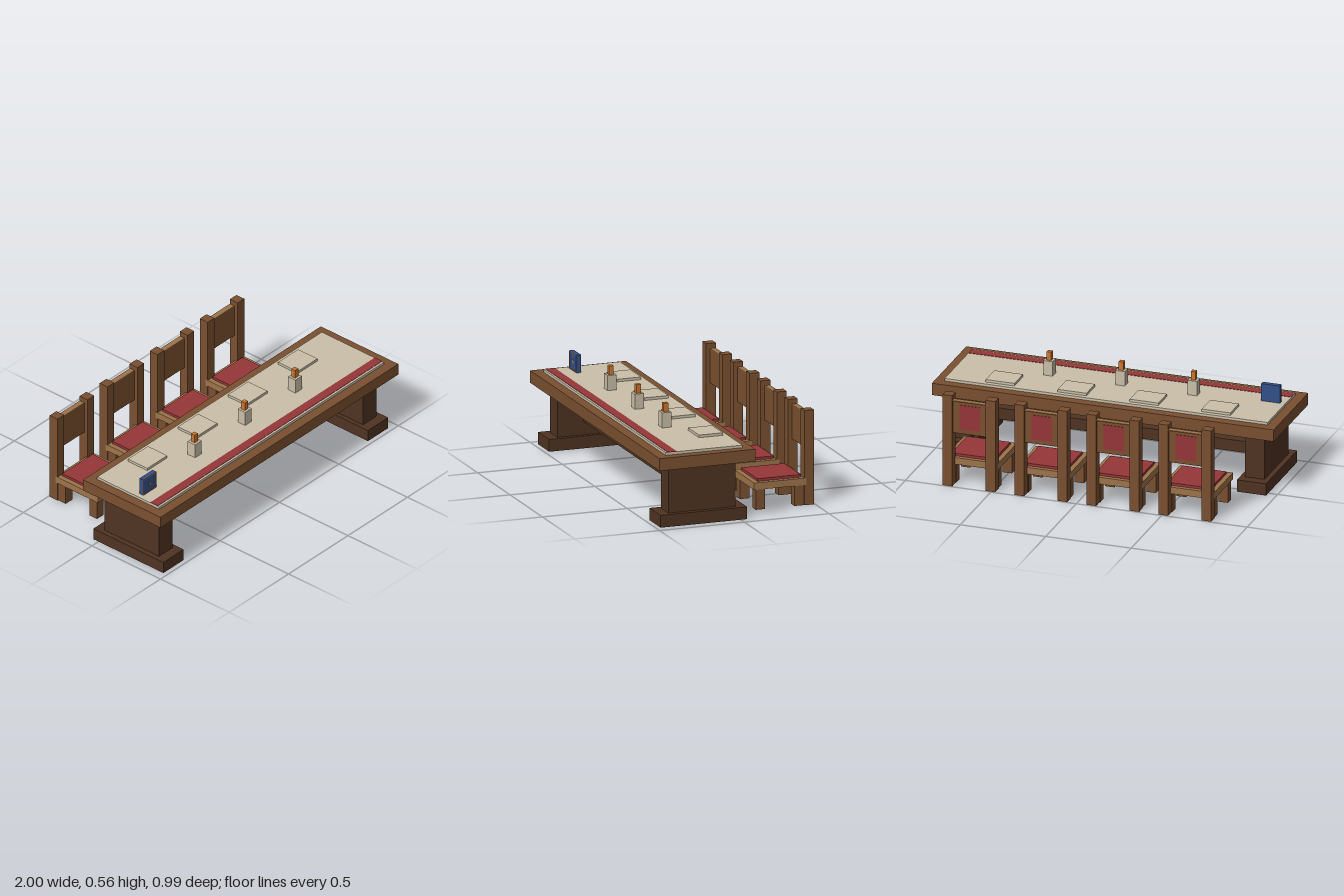
import * as THREE from 'three';

const mat = (name, color) => {
  const m = new THREE.MeshStandardMaterial({ color });
  m.name = name;
  return m;
};

export function createModel() {
  const wood = mat('brown wood', 0x7a5030);
  const dark = mat('dark wood', 0x4f3322);
  const light = mat('light wood', 0x9e744a);
  const linen = mat('linen', 0xcabfa8);
  const red = mat('red cloth', 0x963638);
  const blue = mat('blue cover', 0x34508a);
  const orange = mat('orange flame', 0xcc7630);

  const model = new THREE.Group();
  model.name = 'diningSet';

  // Box given by its lower and upper limits on each axis
  const box = (parent, name, material, [x0, x1], [y0, y1], [z0, z1]) => {
    const mesh = new THREE.Mesh(new THREE.BoxGeometry(x1 - x0, y1 - y0, z1 - z0), material);
    mesh.position.set((x0 + x1) / 2, (y0 + y1) / 2, (z0 + z1) / 2);
    mesh.name = name;
    parent.add(mesh);
    return mesh;
  };
  const group = (name, x = 0) => {
    const g = new THREE.Group();
    g.name = name;
    g.position.x = x;
    model.add(g);
    return g;
  };
  const span = (c, w) => [c - w / 2, c + w / 2];

  // Table with two pedestals joined by a stretcher
  const table = group('table');
  box(table, 'tableTop', wood, [-1, 1], [0.34, 0.41], [-0.065, 0.5]);
  for (const s of [-1, 1]) {
    box(table, 'pedestal', dark, span(s * 0.858, 0.115), [0.07, 0.34], [0.02, 0.415]);
    box(table, 'foot', dark, span(s * 0.86, 0.17), [0, 0.07], [-0.037, 0.473]);
  }
  box(table, 'stretcher', dark, [-0.805, 0.805], [0.145, 0.212], [0.175, 0.26]);

  // Tablecloth with a red band near the front edge
  box(table, 'tablecloth', linen, [-0.945, 0.945], [0.41, 0.425], [-0.01, 0.443]);
  box(table, 'clothBand', red, [-0.944, 0.944], [0.425, 0.427], [0.377, 0.43]);

  // Chairs along the back, each with a place mat in front of it
  for (let i = 0; i < 4; i++) {
    const x = -0.633 + i * 0.421;
    const chair = group('chair', x);
    for (const s of [-1, 1]) {
      box(chair, 'backPost', wood, span(s * 0.126, 0.056), [0, 0.54], [-0.493, -0.436]);
      box(chair, 'frontLeg', wood, span(s * 0.122, 0.055), [0, 0.115], [-0.207, -0.152]);
      box(chair, 'rearLeg', wood, span(s * 0.122, 0.055), [0, 0.115], [-0.436, -0.38]);
    }
    box(chair, 'seat', light, [-0.155, 0.155], [0.115, 0.155], [-0.45, -0.14]);
    box(chair, 'cushion', red, [-0.127, 0.127], [0.155, 0.17], [-0.425, -0.17]);
    box(chair, 'backPanel', wood, [-0.098, 0.098], [0.315, 0.506], [-0.478, -0.459]);
    box(chair, 'backCap', light, [-0.098, 0.098], [0.506, 0.511], [-0.492, -0.459]);
    box(chair, 'backInset', red, [-0.06, 0.06], [0.34, 0.485], [-0.481, -0.478]);

    box(group('placeSetting', x), 'placeMat', linen, [-0.084, 0.084], [0.425, 0.44], [0.017, 0.158]);
  }

  // Candles down the middle
  for (const x of [-0.422, 0, 0.422]) {
    const candle = group('candle', x);
    box(candle, 'candleBody', linen, span(0, 0.054), [0.425, 0.511], [0.22, 0.274]);
    box(candle, 'flame', orange, span(0, 0.027), [0.511, 0.561], [0.233, 0.26]);
  }

  // Upright book with a thin border and a small ornament
  const book = group('book', -0.86);
  box(book, 'bookCover', blue, span(0, 0.11), [0.425, 0.527], [0.274, 0.3]);
  for (const s of [-1, 1]) {
    box(book, 'borderSide', light, span(s * 0.052, 0.006), [0.425, 0.527], [0.3, 0.302]);
    box(book, 'borderEdge', light, span(0, 0.098), span(0.476 + s * 0.048, 0.006), [0.3, 0.302]);
  }
  box(book, 'ornament', light, span(0, 0.018), span(0.476, 0.018), [0.3, 0.302]);

  return model;
}
